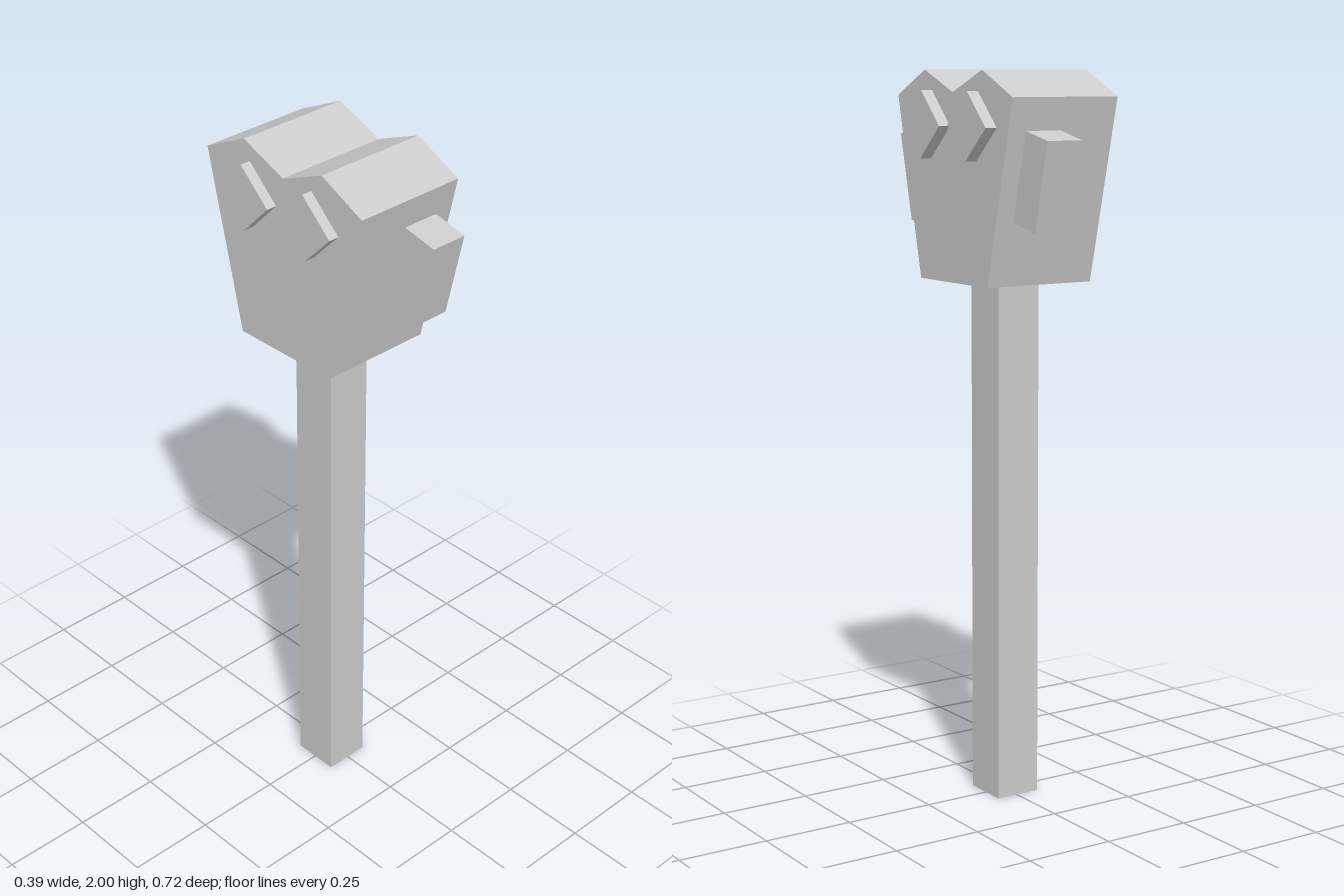
import * as THREE from 'three';

const material = new THREE.MeshStandardMaterial({ color: 0xcccccc, flatShading: true });

// Extrude a [z, y] side profile across x from x0 to x1
function slab(name, profile, x0, x1) {
  const shape = new THREE.Shape(profile.map(([z, y]) => new THREE.Vector2(-z, y)));
  const geometry = new THREE.ExtrudeGeometry(shape, { depth: x1 - x0, bevelEnabled: false });
  geometry.rotateY(Math.PI / 2).translate(x0, 0, 0);
  const mesh = new THREE.Mesh(geometry, material);
  mesh.name = name;
  return mesh;
}

export function createModel() {
  const model = new THREE.Group();
  model.name = 'mallet';

  // Square shaft
  const handle = new THREE.Mesh(new THREE.BoxGeometry(0.13, 1.44, 0.133), material);
  handle.name = 'handle';
  handle.position.set(-0.004, 0.72, 0.002);
  model.add(handle);

  // Tapered head with a double-ridged top
  model.add(slab('head', [
    [0.167, 1.44], [0.281, 1.932], [0.141, 2], [0.001, 1.942],
    [-0.141, 2], [-0.283, 1.932], [-0.165, 1.44],
  ], -0.167, 0.161));

  // Tilted blocks on the front and back slopes
  for (const [name, side] of [['frontBlock', 1], ['backBlock', -1]]) {
    const profile = [[0.36, 1.824], [0.252, 1.849], [0.197, 1.612], [0.305, 1.587]];
    model.add(slab(name, profile.map(([z, y]) => [side * z, y]), 0, 0.107));
  }

  // Diamond pegs running through the head, showing on both sides
  for (const [name, dz] of [['frontPeg', 0], ['backPeg', -0.225]]) {
    const profile = [[0.2, 1.857], [0.104, 1.946], [0.015, 1.854], [0.111, 1.766]];
    model.add(slab(name, profile.map(([z, y]) => [z + dz, y]), -0.197, 0.195));
  }

  return model;
}
